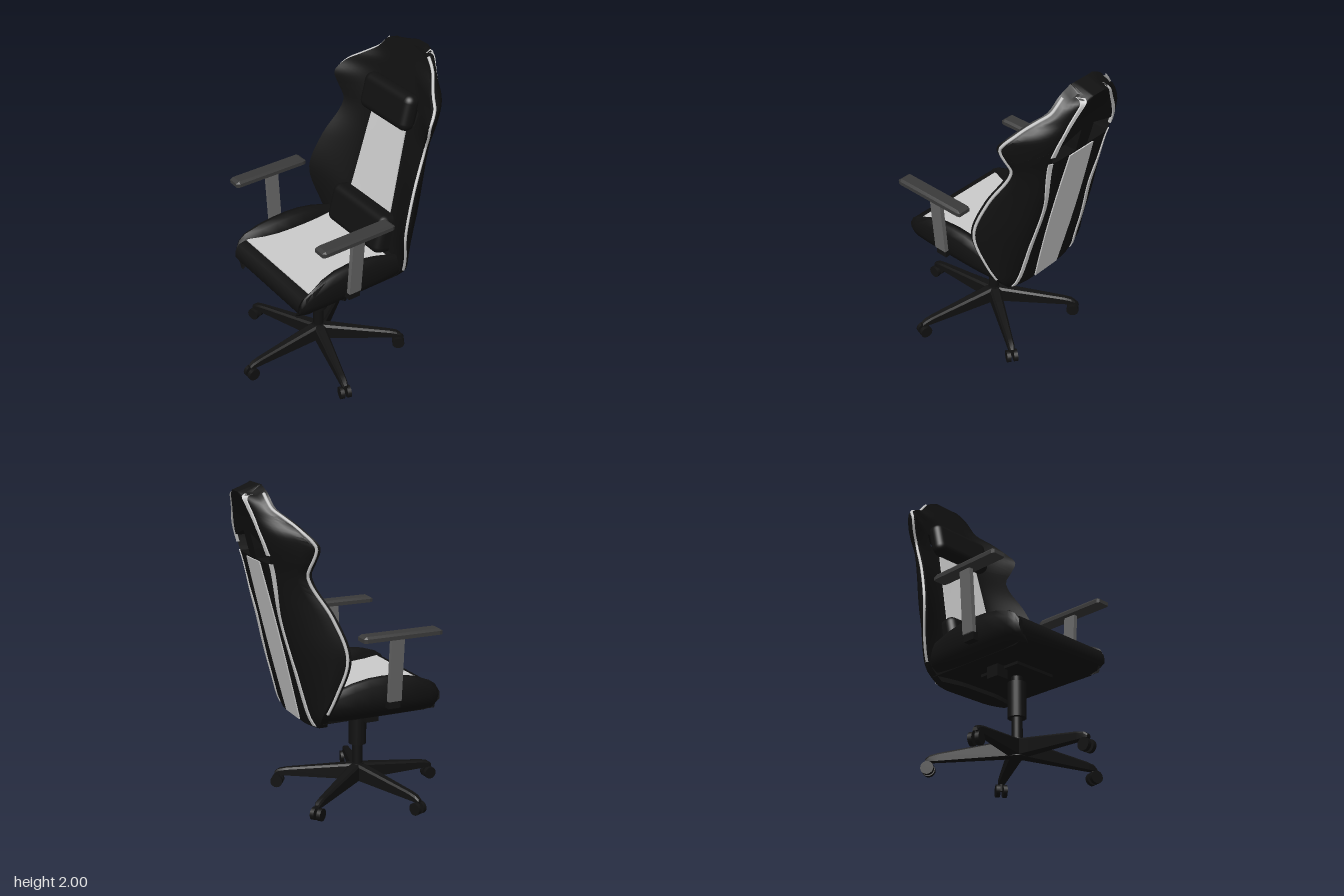
import * as THREE from 'three';
import { toCreasedNormals } from 'three/addons/utils/BufferGeometryUtils.js';
import { RoundedBoxGeometry } from 'three/addons/geometries/RoundedBoxGeometry.js';

const mat = (color) => new THREE.MeshStandardMaterial({ color });
const light = mat(0xcccccc), black = mat(0x111111), darkGrey = mat(0x3a3a3a), midGrey = mat(0x666666);

function add(parent, name, geometry, material, x = 0, y = 0, z = 0) {
  const mesh = new THREE.Mesh(geometry, material);
  mesh.name = name;
  mesh.position.set(x, y, z);
  parent.add(mesh);
  return mesh;
}

// Closed solid from rings with an even number of points; caps join point i to its opposite.
function loft(rings, crease = 0.8) {
  const n = rings[0].length, last = (rings.length - 1) * n, pts = rings.flat(), idx = [];
  const quad = (a, b, c, d) => idx.push(a, b, c, a, c, d);
  for (let r = 0; r < rings.length - 1; r++)
    for (let i = 0; i < n; i++) {
      const j = (i + 1) % n;
      quad(r * n + i, r * n + j, (r + 1) * n + j, (r + 1) * n + i);
    }
  for (let i = 0; i < n / 2 - 1; i++) {
    quad(i, n - 1 - i, n - 2 - i, i + 1);
    quad(last + i, last + i + 1, last + n - 2 - i, last + n - 1 - i);
  }
  // turn all faces outwards
  const v = pts.map((p) => new THREE.Vector3(...p));
  let volume = 0;
  for (let i = 0; i < idx.length; i += 3)
    volume += v[idx[i]].dot(v[idx[i + 1]].clone().cross(v[idx[i + 2]]));
  if (volume < 0) idx.reverse();
  const g = new THREE.BufferGeometry().setFromPoints(v);
  g.setIndex(idx);
  return toCreasedNormals(g, crease);
}

// Smooth lookup by height through [y, a, b] rows.
function table(rows) {
  const curve = new THREE.CatmullRomCurve3(rows.map(([y, a, b = 0]) => new THREE.Vector3(a, y, b)));
  const pts = curve.getPoints(120);
  return (y) => {
    let i = 1;
    while (i < pts.length - 1 && pts[i].y < y) i++;
    const t = THREE.MathUtils.clamp((y - pts[i - 1].y) / (pts[i].y - pts[i - 1].y), 0, 1);
    return pts[i - 1].clone().lerp(pts[i], t);
  };
}

// Wing tip of the backrest: height, half width, depth
const wing = table([
  [0.57, 0.29, -0.34], [0.65, 0.36, -0.355], [0.8, 0.43, -0.32], [1.03, 0.483, -0.272],
  [1.27, 0.445, -0.35], [1.45, 0.392, -0.452], [1.52, 0.388, -0.475], [1.6, 0.425, -0.46],
  [1.68, 0.45, -0.447], [1.75, 0.42, -0.5], [1.82, 0.325, -0.56], [1.88, 0.245, -0.625],
  [1.96, 0.175, -0.645], [2.0, 0.09, -0.65]]);

const backPlane = (y) => -0.43 - 0.243 * (y - 0.57);

// Points on the rear and front skins of the backrest
function rearPoint(u, y, off = 0) {
  const tip = wing(y), s = Math.min(1, Math.abs(u) / tip.x), b = backPlane(y);
  const f = Math.pow(Math.max(0, (s - 0.45) / 0.55), 2);
  const drop = 0.04 * Math.max(0, (y - 1.8) / 0.2);
  return [u, y - drop, b + (tip.z - 0.05 - b) * f - off];
}
function frontPoint(u, y, off = 0) {
  const tip = wing(y), s = Math.min(1, Math.abs(u) / tip.x), c = backPlane(y) + 0.125;
  const f = Math.pow(Math.max(0, (s - 0.4) / 0.6), 1.3);
  return [u, y, c + (tip.z - c) * f + off];
}

// Piece of the backrest between two shares of its width and two heights
function slab(s0, s1, y0, y1, rows, cols) {
  const at = (v, s) => (typeof v === 'function' ? v(s) : v);
  const rings = [];
  for (let r = 0; r <= rows; r++) {
    const rear = [], front = [];
    for (let c = 0; c <= cols; c++) {
      const s = s0 + (s1 - s0) * c / cols;
      const y = THREE.MathUtils.lerp(at(y0, s), at(y1, s), r / rows), u = s * wing(y).x;
      rear.push(rearPoint(u, y));
      front.unshift(frontPoint(u, y));
    }
    rings.push([...rear, ...front]);
  }
  return loft(rings);
}

// Thin inlay lying on one skin, between edges a(y) and b(y)
function inlay(skin, a, b, y0, y1, cols = 1, rows = 24) {
  const rings = [];
  for (let r = 0; r <= rows; r++) {
    const y = y0 + (y1 - y0) * r / rows, over = [], under = [];
    for (let c = 0; c <= cols; c++) {
      const u = THREE.MathUtils.lerp(a(y), b(y), c / cols);
      over.push(skin(u, y, 0.008));
      under.unshift(skin(u, y, -0.012));
    }
    rings.push([...over, ...under]);
  }
  return loft(rings);
}

function backrest() {
  const g = new THREE.Group();
  g.name = 'backrest';
  const holeTop = (s) => 1.74 - 0.14 * Math.abs(s);
  add(g, 'lowerBack', slab(-1, 1, 0.57, 1.57, 30, 28), black);
  add(g, 'headPanel', slab(-1, 1, holeTop, 2, 20, 28), black);
  add(g, 'centrePost', slab(-0.12, 0.12, 1.57, holeTop, 2, 2), black);
  for (const side of [-1, 1]) {
    add(g, 'shoulder', slab(side * 0.58, side, 1.57, holeTop, 6, 8), black);
    // light stripes on the rear and piping along the wing edge
    const low = table([[0.58, 0.265], [0.7, 0.245], [0.92, 0.235], [1.2, 0.205], [1.4, 0.23], [1.57, 0.25]]);
    const high = table([[1.62, 0.25], [1.7, 0.235], [1.82, 0.18], [1.99, 0.1]]);
    const edge = (t, d) => (y) => side * (t(y).x + d);
    add(g, 'rearStripe', inlay(rearPoint, edge(low, -0.012), edge(low, 0.012), 0.58, 1.57), light);
    add(g, 'headStripe', inlay(rearPoint, edge(high, -0.012), edge(high, 0.012), 1.62, 1.99), light);
    const path = [];
    for (let y = 0.68; y < 1.97; y += 0.04) {
      const p = wing(y);
      path.push(new THREE.Vector3(side * p.x, y, p.z - 0.025));
    }
    add(g, 'wingPiping', new THREE.TubeGeometry(new THREE.CatmullRomCurve3(path), 70, 0.01, 6), light);
  }
  // light panels
  const rearHalf = (y) => 0.1 + 0.02 * Math.sin(Math.PI * (y - 0.575));
  add(g, 'rearPanel', inlay(rearPoint, (y) => -rearHalf(y), rearHalf, 0.575, 1.56, 4), light);
  const frontHalf = (y) => 0.2 - 0.07 * (y - 1);
  add(g, 'frontPanel', inlay(frontPoint, (y) => -frontHalf(y), frontHalf, 0.95, 1.57, 6), light);
  // cushions
  add(g, 'lumbarCushion', new RoundedBoxGeometry(0.54, 0.26, 0.16, 4, 0.05), black, 0, 0.875, -0.35).rotation.x = -0.24;
  add(g, 'headPillow', new RoundedBoxGeometry(0.45, 0.23, 0.11, 4, 0.05), black, 0, 1.64, -0.53).rotation.x = -0.24;
  return g;
}

function seat() {
  const g = new THREE.Group();
  g.name = 'seat';
  const profile = [[-0.38, 0.6], [0.3, 0.6], [0.355, 0.62], [0.385, 0.665],
    [0.385, 0.71], [0.36, 0.75], [0.31, 0.765], [-0.38, 0.765]];
  const slice = (u) => profile.map(([z, y]) => [u * (y < 0.63 ? 0.92 : 1), y, z]);
  add(g, 'seatCushion', loft([slice(-0.35), slice(0.35)]), black);
  add(g, 'seatPad', new THREE.BoxGeometry(0.68, 0.02, 0.61), light, 0, 0.762, 0);
  // side bolsters: depth, outer half width, inner half width, top height
  const stations = [[0.37, 0.365, 0.345, 0.73], [0.345, 0.38, 0.345, 0.77], [0.3, 0.39, 0.34, 0.8],
    [0.2, 0.395, 0.305, 0.835], [0.1, 0.395, 0.285, 0.853], [0, 0.395, 0.28, 0.858],
    [-0.1, 0.395, 0.28, 0.853], [-0.2, 0.393, 0.285, 0.835], [-0.32, 0.385, 0.3, 0.8], [-0.395, 0.37, 0.31, 0.77]];
  for (const side of [-1, 1]) {
    const rings = stations.map(([z, o, i, h]) => {
      const m = (o + i) / 2;
      return [[o - 0.075, 0.6], [o - 0.02, 0.65], [o, 0.7], [o - 0.005, h - 0.045], [m + (o - m) * 0.5, h - 0.006],
        [m, h], [m - (m - i) * 0.55, h - 0.02], [i, Math.min(h - 0.03, 0.77)], [i, 0.7], [i - 0.03, 0.6]]
        .map(([u, y]) => [side * u, y, z]);
    });
    add(g, 'seatBolster', loft(rings, 1.0), black);
  }
  return g;
}

function armrest(side) {
  const g = new THREE.Group();
  g.name = 'armrest';
  // pad with chamfered top
  const ring = (z, k) => [[-0.047, 1.115], [0.047, 1.115], [0.047, 1.138], [0.035, 1.152], [-0.035, 1.152], [-0.047, 1.138]]
    .map(([x, y]) => [side * 0.457 + x * k, y > 1.15 && k < 1 ? 1.138 : y, z]);
  add(g, 'armPad', loft([ring(-0.2, 0.85), ring(-0.18, 1), ring(0.29, 1), ring(0.31, 0.85)], 0.3), darkGrey);
  const post = (y, u) => [[-0.014, -0.042], [0.014, -0.042], [0.014, 0.042], [-0.014, 0.042]]
    .map(([x, z]) => [side * u + x, y, 0.035 + z]);
  add(g, 'armPost', loft([post(0.72, 0.425), post(1.12, 0.457)]), midGrey);
  add(g, 'armBracket', new THREE.BoxGeometry(0.08, 0.05, 0.08), black, side * 0.39, 0.7, 0.035);
  return g;
}

function base() {
  const g = new THREE.Group();
  g.name = 'base';
  add(g, 'gasLift', new THREE.CylinderGeometry(0.033, 0.033, 0.3, 24), black, 0, 0.27, 0);
  add(g, 'liftCover', new THREE.CylinderGeometry(0.056, 0.056, 0.22, 24), black, 0, 0.435, 0);
  add(g, 'liftTop', new THREE.CylinderGeometry(0.035, 0.035, 0.08, 24), black, 0, 0.58, 0);
  add(g, 'seatMount', new THREE.BoxGeometry(0.3, 0.03, 0.3), black, 0, 0.597, 0);
  add(g, 'tiltControl', new THREE.BoxGeometry(0.085, 0.075, 0.085), black, -0.163, 0.563, 0);
  add(g, 'hub', new THREE.CylinderGeometry(0.04, 0.055, 0.11, 20), black, 0, 0.14, 0);
  for (let k = 0; k < 5; k++) {
    const leg = new THREE.Group();
    leg.name = 'baseLeg';
    leg.rotation.y = k * Math.PI * 0.4 + 0.02;
    const ring = (z, w, lo, hi) => [[-w, lo], [w, lo], [w, hi - 0.012], [w * 0.6, hi], [-w * 0.6, hi], [-w, hi - 0.012]]
      .map(([x, y]) => [x, y, z]);
    add(leg, 'legArm', loft([ring(0, 0.038, 0.09, 0.195), ring(0.46, 0.022, 0.08, 0.13),
      ring(0.51, 0.021, 0.08, 0.118), ring(0.535, 0.015, 0.08, 0.1)], 0.4), black);
    add(leg, 'casterStem', new THREE.CylinderGeometry(0.012, 0.012, 0.06, 10), black, 0, 0.065, 0.515);
    for (const side of [-1, 1])
      add(leg, 'casterWheel', new THREE.CylinderGeometry(0.039, 0.039, 0.025, 20).rotateZ(Math.PI / 2), black, side * 0.022, 0.039, 0.52);
    g.add(leg);
  }
  return g;
}

export function createModel() {
  const chair = new THREE.Group();
  chair.name = 'chair';
  chair.add(base(), seat(), backrest(), armrest(-1), armrest(1));
  // the chair stands turned towards its right
  chair.rotation.y = THREE.MathUtils.degToRad(-43.5);
  chair.position.set(-0.05, 0, 0.05);
  const model = new THREE.Group();
  model.name = 'deskChair';
  model.add(chair);
  return model;
}
